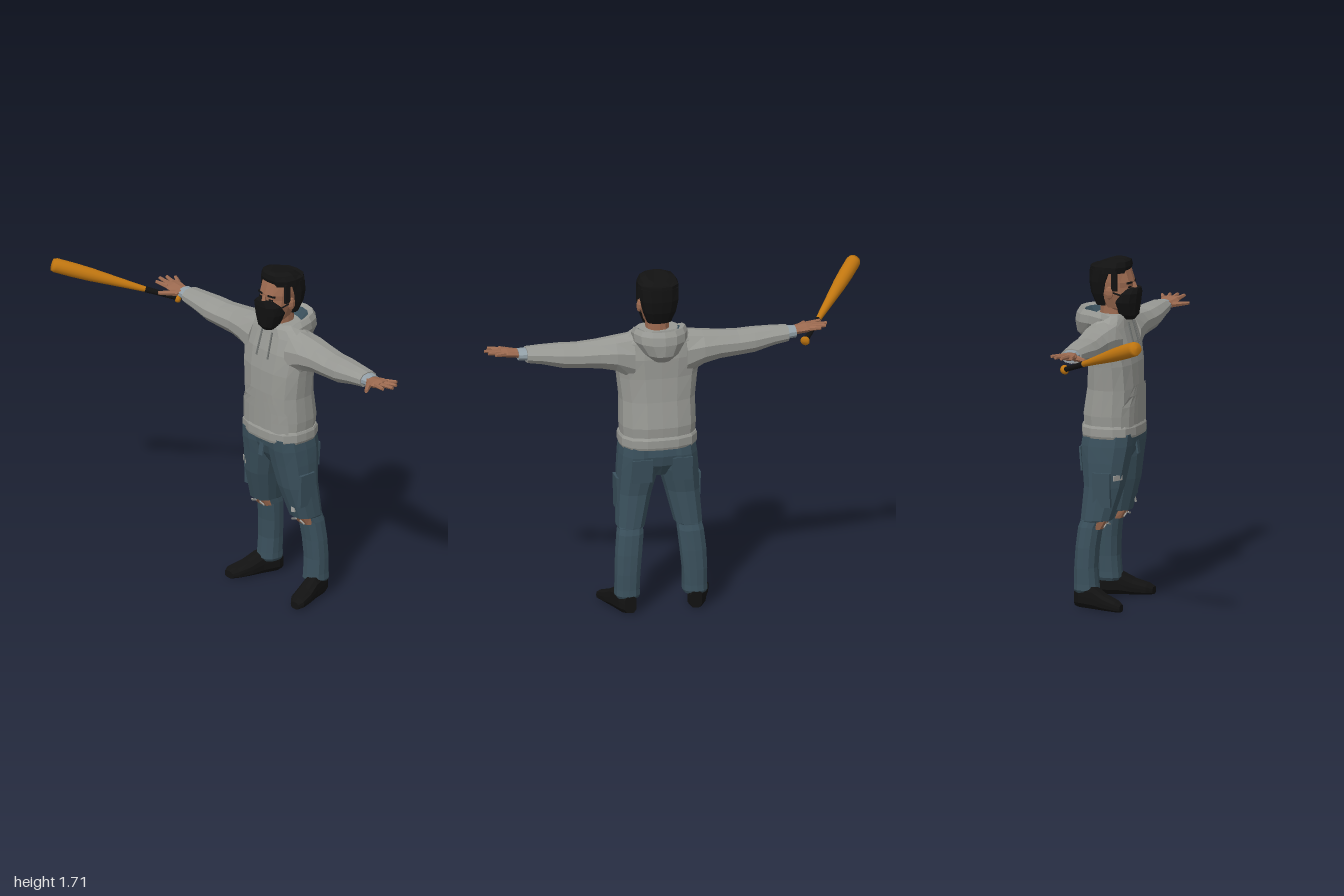
import * as THREE from 'three';

const mat = (name, color) => {
  const m = new THREE.MeshStandardMaterial({ color });
  m.name = name;
  return m;
};

// Superellipse radius factor for a direction (c, s)
const superR = (c, s, p) => Math.pow(Math.abs(c) ** p + Math.abs(s) ** p, -1 / p);

// Flat-shaded copy of a geometry
function flat(geo) {
  const g = geo.index ? geo.toNonIndexed() : geo;
  g.deleteAttribute('uv');
  g.computeVertexNormals();
  return g;
}

// Skin through box-like sections [t, u0, u1, v0, v1]; (axis, u, v) are cyclic: x->yz, y->zx, z->xy
function loft(axis, sections, { n = 12, p = 2.4, warp = null, caps = true, inward = false } = {}) {
  const pos = [], idx = [], a = 'xyz'.indexOf(axis), last = (sections.length - 1) * n;
  const put = (t, u, v) => {
    const q = [0, 0, 0];
    q[a] = t; q[(a + 1) % 3] = u; q[(a + 2) % 3] = v;
    const w = new THREE.Vector3(...q);
    if (warp) warp(w);
    pos.push(w.x, w.y, w.z);
  };
  for (const [t, u0, u1, v0, v1] of sections) for (let j = 0; j < n; j++) {
    const c = Math.cos(j / n * Math.PI * 2), s = Math.sin(j / n * Math.PI * 2), r = superR(c, s, p);
    put(t, (u0 + u1) / 2 + c * r * (u1 - u0) / 2, (v0 + v1) / 2 + s * r * (v1 - v0) / 2);
  }
  const tri = (i, j, k) => inward ? idx.push(i, k, j) : idx.push(i, j, k);
  for (let i = 0; i < last; i += n) for (let j = 0; j < n; j++) {
    const k = (j + 1) % n;
    tri(i + j, i + k, i + n + k);
    tri(i + j, i + n + k, i + n + j);
  }
  if (caps) for (let j = 1; j < n - 1; j++) {
    tri(0, j + 1, j);
    tri(last, last + j, last + j + 1);
  }
  const g = new THREE.BufferGeometry();
  g.setAttribute('position', new THREE.Float32BufferAttribute(pos, 3));
  g.setIndex(idx);
  return flat(g);
}

// Tapered rod between two points
function rod(from, to, r0, r1, sides = 6) {
  const a = new THREE.Vector3(...from), b = new THREE.Vector3(...to), d = b.clone().sub(a);
  const g = new THREE.CylinderGeometry(r1, r0, d.length(), sides);
  g.applyQuaternion(new THREE.Quaternion().setFromUnitVectors(new THREE.Vector3(0, 1, 0), d.normalize()));
  g.translate(...a.add(b).multiplyScalar(0.5).toArray());
  return flat(g);
}

function box(w, h, d, x, y, z, rx = 0, ry = 0, rz = 0) {
  const g = new THREE.BoxGeometry(w, h, d);
  g.rotateX(rx).rotateY(ry).rotateZ(rz).translate(x, y, z);
  return flat(g);
}

// Reflection across x = 0 with corner order restored
function mirrored(geo) {
  const g = geo.clone().scale(-1, 1, 1), p = g.attributes.position;
  for (let i = 0; i < p.count; i += 3) {
    const b = new THREE.Vector3().fromBufferAttribute(p, i + 1), c = new THREE.Vector3().fromBufferAttribute(p, i + 2);
    p.setXYZ(i + 1, c.x, c.y, c.z);
    p.setXYZ(i + 2, b.x, b.y, b.z);
  }
  g.computeVertexNormals();
  return g;
}

export function createModel() {
  const hoodie = mat('hoodieGrey', 0x989994), trim = mat('drawstringGrey', 0x6f7270), cuff = mat('shirtCuff', 0x93a0a8);
  const jeans = mat('denim', 0x3a505c), fray = mat('frayedThread', 0x9a9a96), skin = mat('skin', 0x9c6a50);
  const black = mat('black', 0x121212), wood = mat('batWood', 0xc27710);

  const root = new THREE.Group(), body = new THREE.Group();
  root.name = 'figure';
  body.name = 'body';
  body.position.x = 0.14;
  root.add(body);
  const add = (name, geo, m, parent = body) => {
    const mesh = new THREE.Mesh(geo, m);
    mesh.name = name;
    parent.add(mesh);
  };
  const pair = (name, geo, m) => {
    add(name + 'Left', geo, m);
    add(name + 'Right', mirrored(geo), m);
  };
  const sym = (rows) => rows.map(([y, z0, z1, w]) => [y, z0, z1, -w, w]);

  // Hoodie torso and hem
  add('hoodieTorso', loft('y', sym([[0.88, -0.3, -0.04, 0.182], [0.95, -0.305, -0.04, 0.188], [1.08, -0.285, -0.04, 0.186],
    [1.2, -0.275, -0.047, 0.2], [1.3, -0.275, -0.065, 0.215], [1.38, -0.265, -0.09, 0.19],
    [1.42, -0.255, -0.1, 0.13], [1.44, -0.25, -0.11, 0.1]]), { n: 16, p: 2.8 }), hoodie);
  add('hoodieHem', loft('y', sym([[0.84, -0.308, -0.03, 0.188], [0.852, -0.312, -0.027, 0.193], [0.89, -0.312, -0.027, 0.193],
    [0.902, -0.305, -0.033, 0.188]]), { n: 16, p: 2.8 }), hoodie);

  // Front pocket laid over the curved belly
  const pocket = new THREE.PlaneGeometry(2, 0.2, 8, 4).translate(0, 0.995, 0), pp = pocket.attributes.position;
  for (let i = 0; i < pp.count; i++) {
    const y = pp.getY(i), x = pp.getX(i) * (y < 0.99 ? 0.165 : 0.165 - (y - 0.99) * 0.75);
    pp.setXYZ(i, x, y, -0.17 + 0.137 * Math.pow(1 - (Math.abs(x) / 0.192) ** 2.8, 1 / 2.8));
  }
  add('frontPocket', flat(pocket), hoodie);

  // Hood lying on the back, with its lining and drawstrings
  const tilt = (v) => { if (v.y > 1.39) v.y -= Math.max(0, v.z + 0.22) * 0.45; };
  add('hood', loft('y', sym([[1.3, -0.315, -0.24, 0.04], [1.34, -0.355, -0.16, 0.09], [1.4, -0.362, -0.1, 0.135],
    [1.44, -0.355, -0.09, 0.138], [1.465, -0.34, -0.1, 0.125]]), { n: 14, p: 2.1, warp: tilt, caps: false }), hoodie);
  add('hoodRim', loft('y', sym([[1.455, -0.315, -0.118, 0.102], [1.465, -0.34, -0.1, 0.125]]),
    { n: 14, p: 2.1, warp: tilt, caps: false, inward: true }), hoodie);
  add('hoodLining', loft('y', sym([[1.4, -0.27, -0.12, 0.07], [1.455, -0.315, -0.118, 0.102]]),
    { n: 14, p: 2.1, warp: tilt, caps: false, inward: true }), jeans);
  pair('drawstring', rod([0.035, 1.4, -0.085], [0.04, 1.27, -0.05], 0.005, 0.005, 5), trim);

  // Sleeves, shirt cuffs and open hands
  pair('sleeve', loft('x', [[0.13, 1.18, 1.415, -0.275, -0.075], [0.22, 1.237, 1.402, -0.275, -0.085], [0.3, 1.255, 1.392, -0.262, -0.095],
    [0.4, 1.262, 1.383, -0.25, -0.095], [0.48, 1.268, 1.385, -0.243, -0.092], [0.58, 1.293, 1.383, -0.225, -0.1],
    [0.655, 1.305, 1.38, -0.215, -0.107]], { n: 10 }), hoodie);
  pair('cuff', loft('x', [[0.64, 1.315, 1.375, -0.205, -0.115], [0.695, 1.318, 1.373, -0.197, -0.118]], { n: 10 }), cuff);
  pair('palm', loft('x', [[0.66, 1.325, 1.368, -0.185, -0.128], [0.71, 1.332, 1.372, -0.188, -0.11],
    [0.75, 1.338, 1.378, -0.195, -0.098], [0.78, 1.347, 1.376, -0.192, -0.105]], { n: 8 }), skin);
  [[0.815, -0.208], [0.845, -0.178], [0.858, -0.143], [0.835, -0.1]].forEach(([x, z], i) => {
    const z0 = -0.184 + i * 0.023;
    pair('finger' + i, rod([0.765, 1.362, z0], [x, 1.369, z], 0.013, 0.008), skin);
  });
  pair('thumb', rod([0.705, 1.345, -0.125], [0.765, 1.347, -0.052], 0.016, 0.009), skin);

  // Neck, head and face
  add('neck', loft('y', sym([[1.38, -0.24, -0.115, 0.06], [1.52, -0.235, -0.1, 0.055]])), skin);
  add('head', loft('y', sym([[1.43, -0.17, -0.075, 0.035], [1.47, -0.22, -0.06, 0.06], [1.54, -0.25, -0.062, 0.082],
    [1.575, -0.255, -0.07, 0.084], [1.6, -0.26, -0.068, 0.086], [1.67, -0.25, -0.092, 0.085]])), skin);
  add('nose', rod([0, 1.54, -0.058], [0, 1.595, -0.068], 0.02, 0.008, 5), skin);
  pair('ear', flat(new THREE.SphereGeometry(1, 6, 5).scale(0.013, 0.033, 0.022).translate(0.088, 1.55, -0.165)), skin);
  pair('eyebrow', box(0.04, 0.009, 0.008, 0.04, 1.597, -0.077, 0, 0.25, 0), black);
  pair('eye', box(0.022, 0.008, 0.008, 0.037, 1.576, -0.077, 0, 0.25, 0), black);
  add('mask', loft('y', sym([[1.412, -0.13, -0.065, 0.03], [1.435, -0.15, -0.045, 0.052], [1.5, -0.17, -0.038, 0.078],
    [1.545, -0.155, -0.033, 0.078], [1.57, -0.12, -0.035, 0.05]])), black);
  pair('maskStrap', rod([0.074, 1.535, -0.1], [0.088, 1.555, -0.16], 0.005, 0.005, 4), black);

  // Hair: crown, back and sideburns
  const slope = (v) => { if (v.y > 1.68) v.y -= Math.max(0, -0.17 - v.z) * 0.3; };
  add('hairTop', loft('y', sym([[1.645, -0.285, -0.092, 0.1], [1.675, -0.282, -0.084, 0.1], [1.7, -0.26, -0.088, 0.085],
    [1.71, -0.24, -0.105, 0.055]]), { p: 2.6, warp: slope }), black);
  add('hairBack', loft('y', sym([[1.48, -0.255, -0.18, 0.06], [1.54, -0.278, -0.175, 0.084], [1.6, -0.287, -0.16, 0.097],
    [1.66, -0.285, -0.13, 0.1]])), black);
  pair('sideburn', box(0.016, 0.1, 0.03, 0.085, 1.61, -0.14), black);

  // Jeans
  add('jeansSeat', loft('y', sym([[0.69, -0.25, -0.11, 0.05], [0.75, -0.29, -0.07, 0.15], [0.8, -0.3, -0.05, 0.182],
    [0.87, -0.29, -0.04, 0.183]]), { p: 2.8 }), jeans);
  pair('jeansLeg', loft('y', [[0.075, -0.305, -0.2, 0.115, 0.222], [0.09, -0.312, -0.19, 0.107, 0.232], [0.12, -0.31, -0.193, 0.108, 0.23],
    [0.2, -0.31, -0.2, 0.105, 0.23], [0.3, -0.305, -0.195, 0.095, 0.227], [0.4, -0.295, -0.182, 0.085, 0.217],
    [0.428, -0.285, -0.17, 0.085, 0.21], [0.435, -0.285, -0.13, 0.075, 0.214], [0.6, -0.275, -0.08, 0.035, 0.205],
    [0.72, -0.29, -0.06, 0, 0.2], [0.8, -0.298, -0.045, -0.005, 0.193], [0.86, -0.29, -0.04, 0, 0.184]], { n: 12, p: 2.7 }), jeans);
  pair('sidePocket', box(0.024, 0.17, 0.09, 0.197, 0.59, -0.165, 0, 0, -0.03), jeans);
  pair('backPocket', box(0.1, 0.12, 0.009, 0.1, 0.73, -0.291, -0.08, 0, 0), jeans);
  add('fly', box(0.03, 0.09, 0.009, 0, 0.79, -0.05, -0.15, 0, 0), jeans);

  // Torn knees and thigh patch
  pair('kneeSkin', loft('y', [[0.39, -0.23, -0.172, 0.1, 0.2], [0.436, -0.23, -0.142, 0.1, 0.2]], { n: 8 }), skin);
  for (let i = 0; i < 3; i++)
    pair('kneeThread' + i, box(0.035, 0.008, 0.006, 0.118 + i * 0.03, 0.41 + (i % 2) * 0.016, -0.155, 0.4, 0, 0.3 - i * 0.3), fray);
  add('thighPatch', box(0.055, 0.025, 0.009, -0.172, 0.65, -0.092, 0, -0.5, 0), fray);
  add('thighTear', box(0.02, 0.04, 0.009, 0.155, 0.49, -0.118, -0.2, 0.3, 0.2), fray);

  // Shoes, toes turned out
  const splay = (v) => { v.x += 0.167 + (v.z + 0.3) * 0.3; };
  pair('shoe', loft('z', [[-0.31, -0.03, 0.03, 0.005, 0.09], [-0.28, -0.046, 0.046, 0, 0.12], [-0.2, -0.046, 0.046, 0, 0.11],
    [-0.14, -0.05, 0.05, 0, 0.075], [-0.075, -0.047, 0.047, 0, 0.052], [-0.048, -0.028, 0.028, 0, 0.036]],
  { n: 12, p: 3.6, warp: splay }), black);

  // Baseball bat, turned on its long axis and tilted to pass through the hand
  const bat = new THREE.Group();
  bat.name = 'bat';
  bat.position.set(-0.6, 1.29, -0.17);
  bat.quaternion.setFromUnitVectors(new THREE.Vector3(0, 1, 0), new THREE.Vector3(-0.37, 0.21, 0.505).normalize());
  const turned = (pts) => new THREE.LatheGeometry(pts.map(([r, y]) => new THREE.Vector2(r, y)), 16);
  add('knob', turned([[0, -0.005], [0.02, -0.003], [0.024, 0.008], [0.02, 0.018], [0.012, 0.022]]), wood, bat);
  add('grip', turned([[0.013, 0.02], [0.0135, 0.1], [0.015, 0.18]]), black, bat);
  add('barrel', turned([[0.014, 0.18], [0.019, 0.26], [0.026, 0.36], [0.033, 0.46], [0.036, 0.55], [0.036, 0.64],
    [0.031, 0.657], [0, 0.662]]), wood, bat);
  root.add(bat);
  return root;
}
